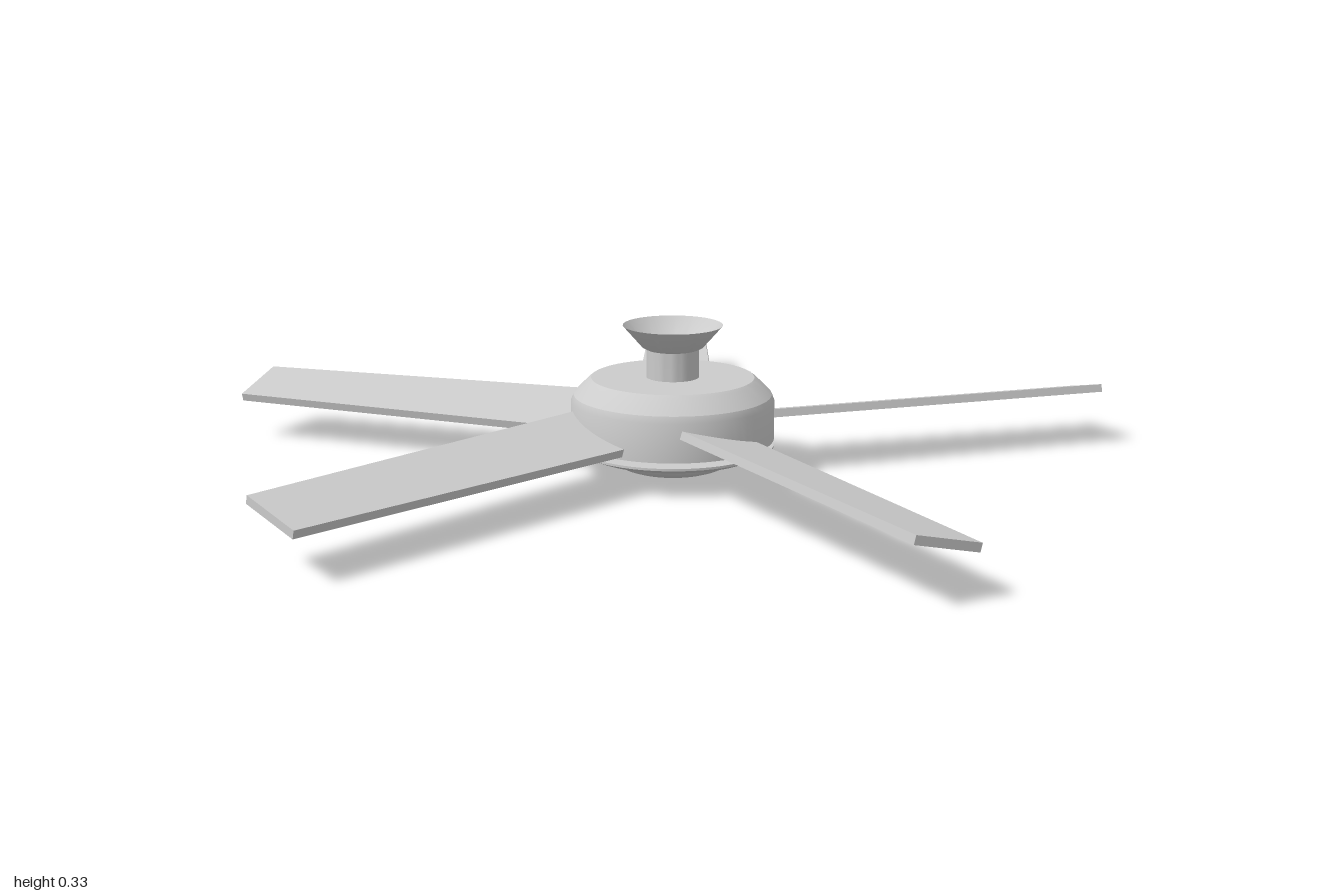
import * as THREE from 'three';
import { toCreasedNormals } from 'three/addons/utils/BufferGeometryUtils.js';

const material = new THREE.MeshStandardMaterial({ color: 0xcccccc, side: THREE.DoubleSide });

// Turned part from [radius, y] points, listed bottom to top on the outside
function turned(name, points, segments = 64) {
  const profile = points.map(([r, y]) => new THREE.Vector2(r, y));
  const mesh = new THREE.Mesh(toCreasedNormals(new THREE.LatheGeometry(profile, segments), 0.4), material);
  mesh.name = name;
  return mesh;
}

// Flat tapered blade, tip at the origin, running back along -x, pitched about its length
function bladeGeometry(length, tipWidth, rootWidth, thickness, pitch) {
  const geo = new THREE.BoxGeometry(length, thickness, 1);
  geo.translate(-length / 2, 0, 0);
  const pos = geo.attributes.position;
  for (let i = 0; i < pos.count; i++) {
    const width = THREE.MathUtils.lerp(tipWidth, rootWidth, -pos.getX(i) / length);
    pos.setZ(i, pos.getZ(i) * width);
  }
  geo.rotateX(-pitch);
  geo.computeVertexNormals();
  return geo;
}

export function createModel() {
  const fan = new THREE.Group();
  fan.name = 'ceilingFan';

  const hub = new THREE.Group();
  hub.name = 'hub';
  hub.position.set(0.06, 0, 0.07);
  fan.add(hub);

  // Motor housing with sloped shoulder
  hub.add(turned('motorHousing', [
    [0, 0.08], [0.225, 0.08], [0.225, 0.165], [0.219, 0.18], [0.187, 0.212], [0.18, 0.217], [0, 0.217],
  ]));

  // Shaft between housing and lower plate
  hub.add(turned('motorShaft', [[0.04, 0.06], [0.04, 0.085]], 32));

  // Lower plate with a shallow flared rim
  hub.add(turned('lowerPlate', [
    [0, 0.054], [0.155, 0.054], [0.16, 0.047], [0.195, 0.05], [0.225, 0.063], [0.225, 0.068], [0, 0.068],
  ]));

  // Light bowl
  const bowl = [];
  for (let i = 0; i <= 10; i++) {
    const a = (i / 10) * Math.PI / 2;
    bowl.push([0.145 * Math.sin(a), 0.046 - 0.046 * Math.cos(a)]);
  }
  bowl.push([0.145, 0.055]);
  hub.add(turned('lightBowl', bowl));

  // Hollow down rod
  hub.add(turned('downRod', [
    [0.047, 0.215], [0.058, 0.215], [0.058, 0.288], [0.047, 0.288], [0.047, 0.215],
  ], 48));

  // Open flared ceiling canopy
  hub.add(turned('ceilingCanopy', [[0.058, 0.28], [0.068, 0.285], [0.11, 0.333]], 48));

  // Blades: tip x, tip z, heading in degrees
  const blades = [
    [-0.131, -0.957, 100.6],
    [0.965, -0.428, 29.1],
    [0.70, 0.837, -50.1],
    [-0.521, 0.93, 237.7],
    [-0.99, -0.083, 172.3],
  ];
  const geometry = bladeGeometry(0.9, 0.15, 0.194, 0.018, 0.245);
  blades.forEach(([x, z, heading], i) => {
    const blade = new THREE.Mesh(geometry, material);
    blade.name = `blade${i + 1}`;
    blade.position.set(x, 0.118, z);
    blade.rotation.y = THREE.MathUtils.degToRad(heading);
    fan.add(blade);
  });

  return fan;
}
